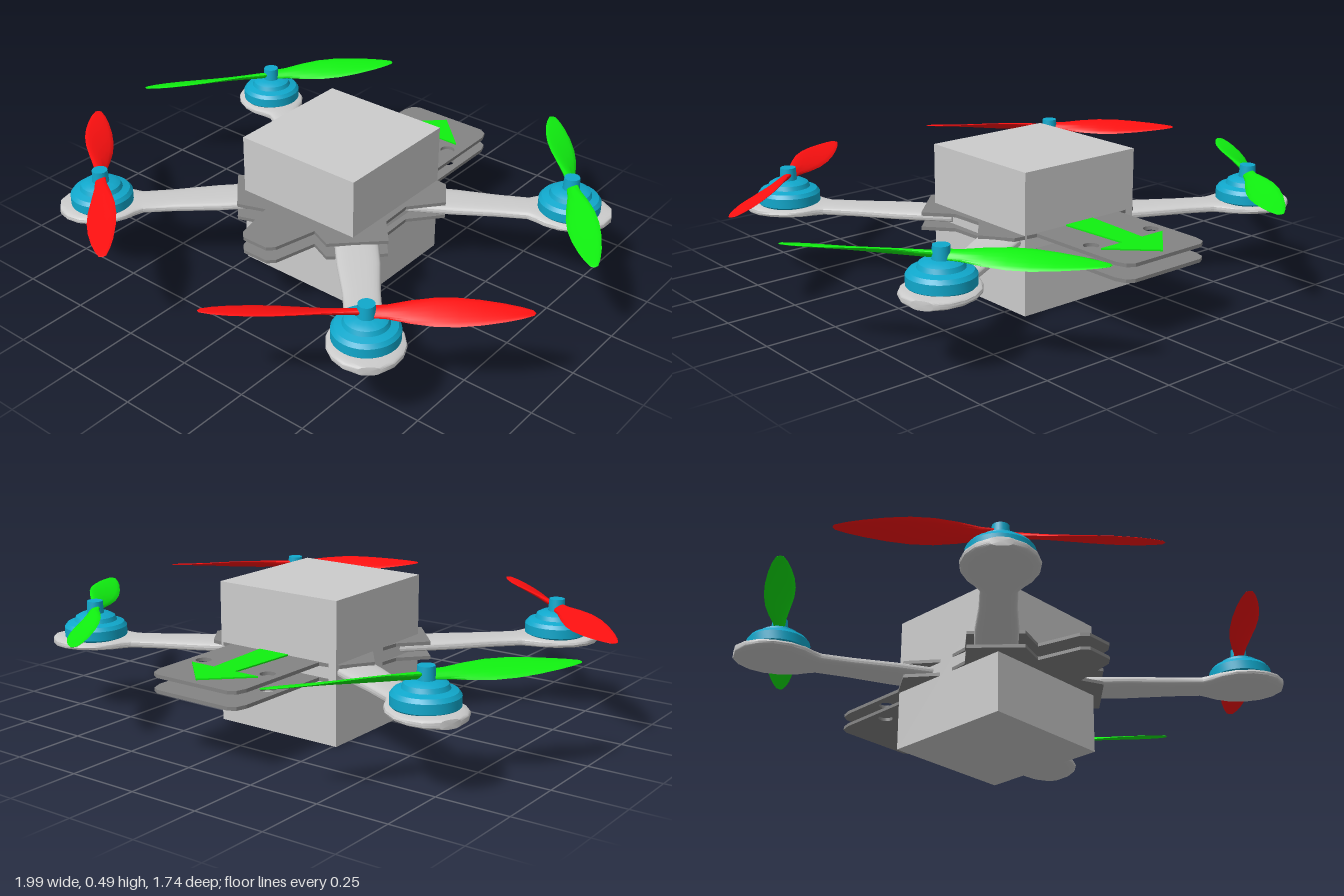
import * as THREE from 'three';
import { toCreasedNormals } from 'three/addons/utils/BufferGeometryUtils.js';

const material = (color) => new THREE.MeshStandardMaterial({ color });
const grey = material(0xcccccc);
const darkGrey = material(0x848484);
const blue = material(0x10a8cc);
const red = material(0xff1010);
const green = material(0x10f010);

function part(name, geometry, mat) {
  const mesh = new THREE.Mesh(geometry, mat);
  mesh.name = name;
  return mesh;
}

// Skin a closed body along +x; each station is [x, halfWidth, halfHeight, pitch]
function loft(stations, power = 1, n = 24) {
  const positions = [];
  const index = [];
  const bulge = (v) => Math.sign(v) * Math.abs(v) ** power;
  stations.forEach(([x, w, h, pitch = 0], i) => {
    const c = Math.cos(pitch), s = Math.sin(pitch);
    for (let j = 0; j < n; j++) {
      const a = (j / n) * Math.PI * 2;
      const y = bulge(Math.cos(a)) * h, z = bulge(Math.sin(a)) * w;
      positions.push(x, y * c - z * s, y * s + z * c);
      if (i === stations.length - 1) continue;
      const k = (j + 1) % n;
      const A = i * n + j, D = i * n + k, B = A + n, C = D + n;
      index.push(A, D, B, B, D, C);
    }
  });
  const geometry = new THREE.BufferGeometry();
  geometry.setAttribute('position', new THREE.Float32BufferAttribute(positions, 3));
  geometry.setIndex(index);
  return toCreasedNormals(geometry, 0.7);
}

// Flat slab from an outline of [x, z] points, its upper face at height top
function slab(outline, top, thickness, holes = []) {
  const shape = new THREE.Shape(outline.map(([x, z]) => new THREE.Vector2(x, z)));
  for (const [x, z, r] of holes) {
    shape.holes.push(new THREE.Path().absarc(x, z, r, 0, Math.PI * 2, true));
  }
  const geometry = new THREE.ExtrudeGeometry(shape, { depth: thickness, bevelEnabled: false, curveSegments: 20 });
  return geometry.rotateX(Math.PI / 2).translate(0, top, 0);
}

// Frame plate: rear tab with rounded corners, arm lugs at the corners, front nose
const plateOutline = [
  [-0.195, -0.33], [-0.19, -0.69], [-0.18, -0.725], [-0.155, -0.74],
  [0.135, -0.74], [0.16, -0.725], [0.173, -0.69], [0.178, -0.33],
  [0.265, -0.32], [0.335, -0.22], [0.245, -0.11], [0.25, 0.01],
  [0.328, 0.1], [0.18, 0.245], [0.1, 0.21], [0.063, 0.365], [0.04, 0.388],
  [-0.06, 0.388], [-0.083, 0.365], [-0.12, 0.21], [-0.22, 0.245],
  [-0.35, 0.1], [-0.268, 0.01], [-0.255, -0.11], [-0.338, -0.22], [-0.27, -0.32],
];
const plateHoles = [[-0.143, -0.53, 0.026], [0.125, -0.53, 0.026]];

const arrowOutline = [
  [-0.008, -0.715], [0.13, -0.58], [0.036, -0.58], [0.052, -0.33],
  [-0.068, -0.33], [-0.052, -0.58], [-0.146, -0.58],
];

// Motor can, from its underside to its top
const motorProfile = [
  [0, 0.25], [0.09, 0.25], [0.108, 0.268], [0.108, 0.3], [0.098, 0.313],
  [0.074, 0.32], [0.068, 0.335], [0.05, 0.345], [0, 0.345],
].map(([r, y]) => new THREE.Vector2(r, y));

const bladeStations = [
  [0, 0, 0, 0.5], [0.005, 0.02, 0.011, 0.5], [0.06, 0.024, 0.01, 0.5],
  [0.13, 0.039, 0.008, 0.46], [0.2, 0.05, 0.007, 0.4], [0.27, 0.053, 0.006, 0.34],
  [0.34, 0.048, 0.005, 0.28], [0.41, 0.037, 0.004, 0.22], [0.46, 0.025, 0.003, 0.17],
  [0.495, 0.012, 0.002, 0.12], [0.502, 0, 0, 0.12],
];

// Arm ending in a round motor pod; x = 0 lies under the motor
const armStations = [
  [0.6, 0, 0], [0.6, 0.075, 0.019], [0.4, 0.073, 0.019], [0.25, 0.062, 0.018],
  [0.14, 0.06, 0.018], [0.11, 0.078, 0.018], [0.08, 0.1, 0.018], [0.03, 0.12, 0.018],
  [-0.03, 0.123, 0.018], [-0.08, 0.108, 0.018], [-0.12, 0.078, 0.017],
  [-0.145, 0.035, 0.015], [-0.147, 0, 0],
].reverse();

const armGeometry = loft(armStations, 0.7);
const bladeGeometry = loft(bladeStations, 1, 16);
const motorGeometry = toCreasedNormals(new THREE.LatheGeometry(motorProfile, 40), 0.6);

// Motor position, arm root and blade tip, all as [x, z]
const rotors = [
  { name: 'rearRight', at: [-0.69, -0.468], root: [-0.3, -0.257], tip: [-0.387, -0.865], color: green },
  { name: 'rearLeft', at: [0.675, -0.478], root: [0.29, -0.257], tip: [0.367, -0.865], color: green },
  { name: 'frontRight', at: [-0.615, 0.51], root: [-0.285, 0.175], tip: [-0.24, 0.842], color: red },
  { name: 'frontLeft', at: [0.58, 0.545], root: [0.255, 0.175], tip: [0.97, 0.235], color: red },
];

const heading = (from, to) => Math.atan2(from[1] - to[1], to[0] - from[0]);

function createRotor({ name, at, root, tip, color }) {
  const group = new THREE.Group();
  group.name = name + 'Rotor';
  group.position.set(at[0], 0, at[1]);

  const arm = part('arm', armGeometry, grey);
  arm.position.y = 0.249;
  arm.rotation.y = heading(at, root);
  group.add(arm, part('motor', motorGeometry, blue));

  const hub = part('propellerHub', new THREE.CylinderGeometry(0.027, 0.03, 0.05, 24), blue);
  hub.position.y = 0.363;
  group.add(hub);

  const propeller = new THREE.Group();
  propeller.name = 'propeller';
  propeller.position.y = 0.358;
  propeller.rotation.y = heading(at, tip);
  for (const turn of [0, Math.PI]) {
    const blade = part('blade', bladeGeometry, color);
    blade.rotation.y = turn;
    propeller.add(blade);
  }
  group.add(propeller);
  return group;
}

export function createModel() {
  const model = new THREE.Group();
  model.name = 'quadcopter';

  // Central block passing through both plates
  const body = part('bodyBlock', new THREE.BoxGeometry(0.485, 0.49, 0.485), grey);
  body.position.set(-0.018, 0.245, -0.083);
  model.add(body);

  // Frame plates above and below the arms
  model.add(part('upperPlate', slab(plateOutline, 0.278, 0.012, plateHoles), darkGrey));
  model.add(part('lowerPlate', slab(plateOutline, 0.227, 0.012, plateHoles), darkGrey));

  // Direction arrow lying on the rear tab
  model.add(part('directionArrow', slab(arrowOutline, 0.283, 0.006), green));

  for (const rotor of rotors) model.add(createRotor(rotor));
  return model;
}
